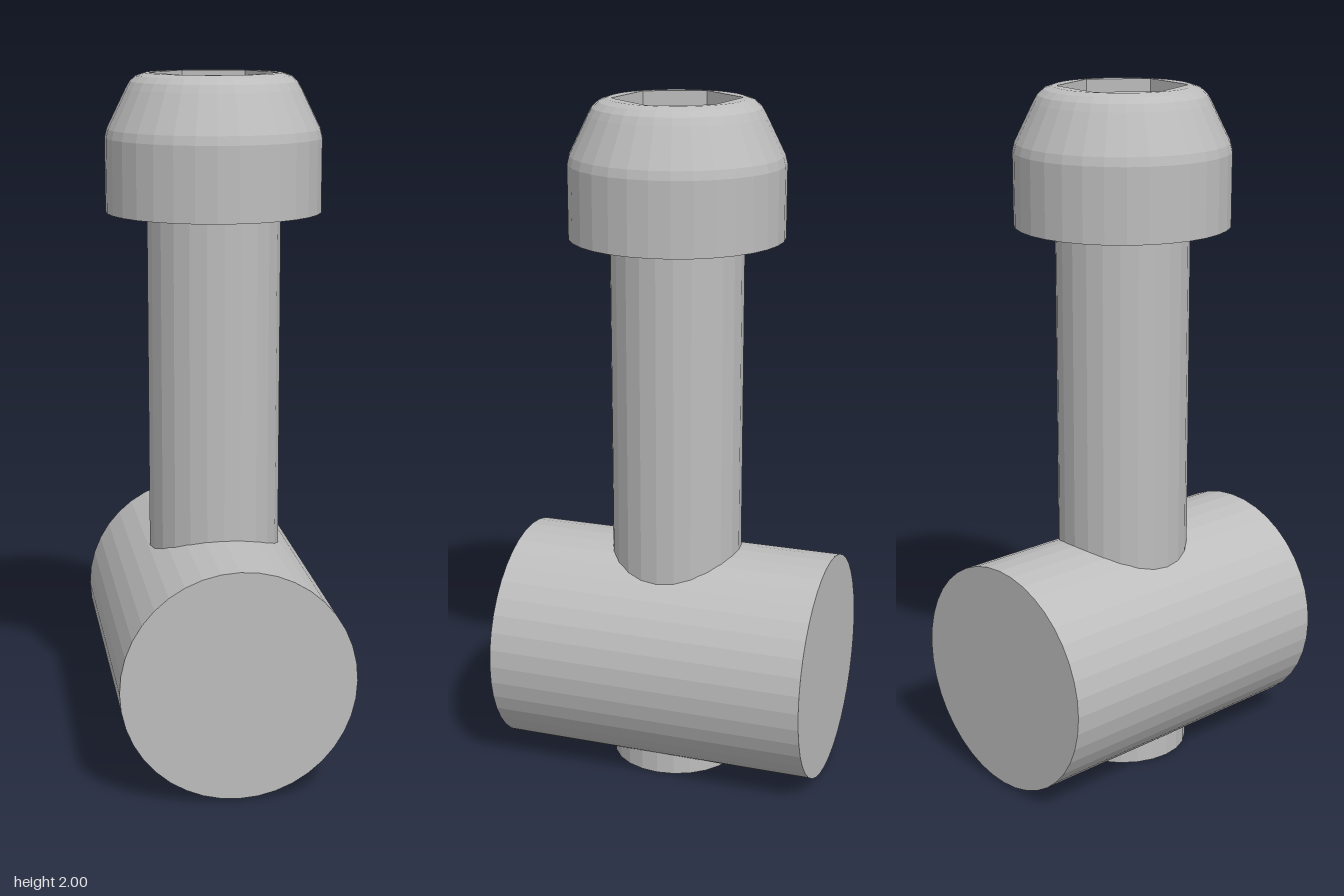
import * as THREE from 'three';

const steel = new THREE.MeshStandardMaterial({ color: 0xbdbdbd, flatShading: true });
steel.name = 'steel grey';

const SIDES = 32;
const HEX_ANGLE = THREE.MathUtils.degToRad(24.4);
const HEX_RADIUS = 0.184;
const RIM_RADIUS = 0.195;

function add(group, name, geometry) {
  const mesh = new THREE.Mesh(geometry, steel);
  mesh.name = name;
  group.add(mesh);
  return mesh;
}

// Revolved profile given as [radius, height] pairs, bottom to top
function lathe(profile, sides = SIDES, start = 0) {
  return new THREE.LatheGeometry(profile.map(([r, y]) => new THREE.Vector2(r, y)), sides, start);
}

function polygon(radius, sides, start = 0) {
  return Array.from({ length: sides }, (_, i) => {
    const a = start + (i / sides) * Math.PI * 2;
    return new THREE.Vector2(radius * Math.cos(a), radius * Math.sin(a));
  });
}

export function createModel() {
  const model = new THREE.Group();
  model.name = 'barrelNutAndBolt';

  // Horizontal cross barrel
  const barrel = new THREE.CylinderGeometry(0.336, 0.336, 0.951, 40);
  barrel.rotateX(Math.PI / 2).rotateY(THREE.MathUtils.degToRad(-15.7));
  add(model, 'barrel', barrel).position.y = 0.341;

  // Shaft passing right through the barrel
  add(model, 'shaft', new THREE.CylinderGeometry(0.193, 0.193, 1.61, 24)).position.y = 0.805;

  // Head with tapered, rounded shoulder
  add(model, 'head', lathe([
    [0, 1.61], [0.31, 1.61], [0.31, 1.82], [0.304, 1.845],
    [0.25, 1.955], [0.238, 1.976], [0.22, 1.992], [RIM_RADIUS, 2],
  ]));

  // Flat top with hexagonal opening
  const rim = new THREE.Shape(polygon(RIM_RADIUS, SIDES));
  rim.holes.push(new THREE.Path(polygon(HEX_RADIUS, 6, -HEX_ANGLE)));
  add(model, 'headTop', new THREE.ShapeGeometry(rim).rotateX(-Math.PI / 2)).position.y = 2;

  // Socket walls and floor, facing inward
  add(model, 'hexSocket', lathe(
    [[HEX_RADIUS, 2], [HEX_RADIUS, 1.8], [0, 1.8]], 6, Math.PI / 2 - HEX_ANGLE));

  return model;
}
